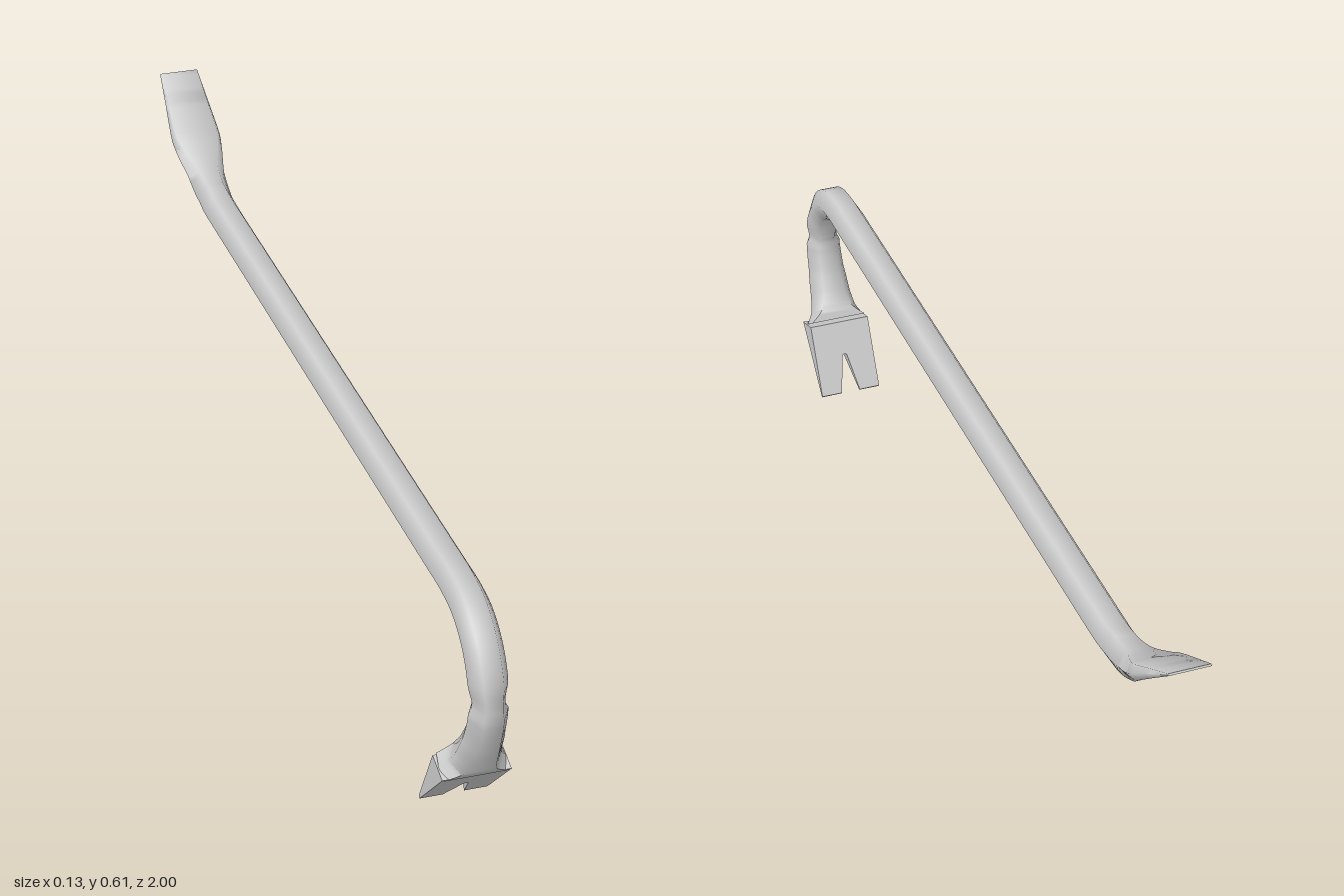
import * as THREE from 'three';
import { toCreasedNormals } from 'three/addons/utils/BufferGeometryUtils.js';

const V = (x, y, z) => new THREE.Vector3(x, y, z);

// Stations along the bar, claw to blade: z, y, half width, half thickness, flat share of the width
const stations = [
  [0.896, 0.128, 0.061, 0.027, 0.95],
  [0.909, 0.148, 0.048, 0.03, 0.68],
  [0.925, 0.172, 0.043, 0.031, 0.55],
  [0.951, 0.222, 0.038, 0.031, 0.5],
  [0.968, 0.28, 0.036, 0.031, 0.5],
  [0.962, 0.335, 0.036, 0.031, 0.5],
  [0.93, 0.388, 0.036, 0.031, 0.5],
  [0.88, 0.422, 0.036, 0.031, 0.5],
  [0.82, 0.434, 0.036, 0.031, 0.5],
  [0.74, 0.435, 0.036, 0.031, 0.5],
  [0.66, 0.435, 0.036, 0.031, 0.5],
  [-0.54, 0.435, 0.036, 0.031, 0.5],
  [-0.61, 0.435, 0.036, 0.031, 0.5],
  [-0.68, 0.436, 0.036, 0.031, 0.5],
  [-0.74, 0.444, 0.036, 0.031, 0.5],
  [-0.79, 0.463, 0.038, 0.026, 0.55],
  [-0.842, 0.494, 0.048, 0.018, 0.75],
  [-0.875, 0.518, 0.051, 0.014, 0.85],
  [-0.937, 0.562, 0.0455, 0.008, 0.9],
  [-0.999, 0.605, 0.04, 0.002, 0.95],
];

// Hexagonal section swept along the stations
function barGeometry() {
  const path = new THREE.CatmullRomCurve3(stations.map(s => V(0, s[1], s[0])));
  const size = new THREE.CatmullRomCurve3(stations.map(s => V(s[2], s[3], s[4])));
  const steps = (stations.length - 1) * 5;
  const pos = [], index = [];
  const X = V(1, 0, 0);
  for (let i = 0; i <= steps; i++) {
    const t = i / steps;
    const p = path.getPoint(t), s = size.getPoint(t);
    const n = path.getTangent(t).cross(X).normalize();
    const w = s.x, h = s.y, f = s.x * s.z;
    for (const [a, b] of [[w, 0], [f, h], [-f, h], [-w, 0], [-f, -h], [f, -h]]) {
      pos.push(p.x + a, p.y + n.y * b, p.z + n.z * b);
    }
  }
  for (let i = 0; i < steps; i++) {
    for (let j = 0; j < 6; j++) {
      const a = i * 6 + j, b = i * 6 + (j + 1) % 6;
      index.push(a, b, a + 6, b, b + 6, a + 6);
    }
  }
  // End caps
  const e = steps * 6;
  for (let j = 1; j < 5; j++) index.push(0, j + 1, j, e, e + j, e + j + 1);
  const g = new THREE.BufferGeometry();
  g.setAttribute('position', new THREE.Float32BufferAttribute(pos, 3));
  g.setIndex(index);
  return toCreasedNormals(g, 1.15);
}

// Notched plate, drawn flat and then bent into a wedge
function clawGeometry() {
  const hw = 0.063;
  const s = new THREE.Shape();
  s.moveTo(-hw, 0);
  s.lineTo(-hw, -1);
  s.lineTo(-0.02, -1);
  s.lineTo(-0.005, -0.49);
  s.quadraticCurveTo(-0.004, -0.46, 0, -0.46);
  s.quadraticCurveTo(0.004, -0.46, 0.005, -0.49);
  s.lineTo(0.02, -1);
  s.lineTo(hw, -1);
  s.lineTo(hw, 0);
  s.closePath();
  const g = new THREE.ExtrudeGeometry(s, { depth: 1, bevelEnabled: false, curveSegments: 4 });
  const outerTop = V(0, 0.118, 0.922), outerTip = V(0, 0, 0.804);
  const innerTop = V(0, 0.136, 0.869), innerTip = V(0, 0.004, 0.8);
  const p = g.attributes.position;
  for (let i = 0; i < p.count; i++) {
    const v = -p.getY(i);
    const inner = innerTop.clone().lerp(innerTip, v);
    const q = inner.lerp(outerTop.clone().lerp(outerTip, v), p.getZ(i));
    p.setXYZ(i, p.getX(i), q.y, q.z);
  }
  g.computeVertexNormals();
  return g;
}

export function createModel() {
  const group = new THREE.Group();
  group.name = 'crowbar';
  const material = new THREE.MeshStandardMaterial({ color: 0xcccccc });
  const add = (name, geometry) => {
    const mesh = new THREE.Mesh(geometry, material);
    mesh.name = name;
    group.add(mesh);
  };
  add('barWithBlade', barGeometry());
  add('notchedClaw', clawGeometry());
  return group;
}
